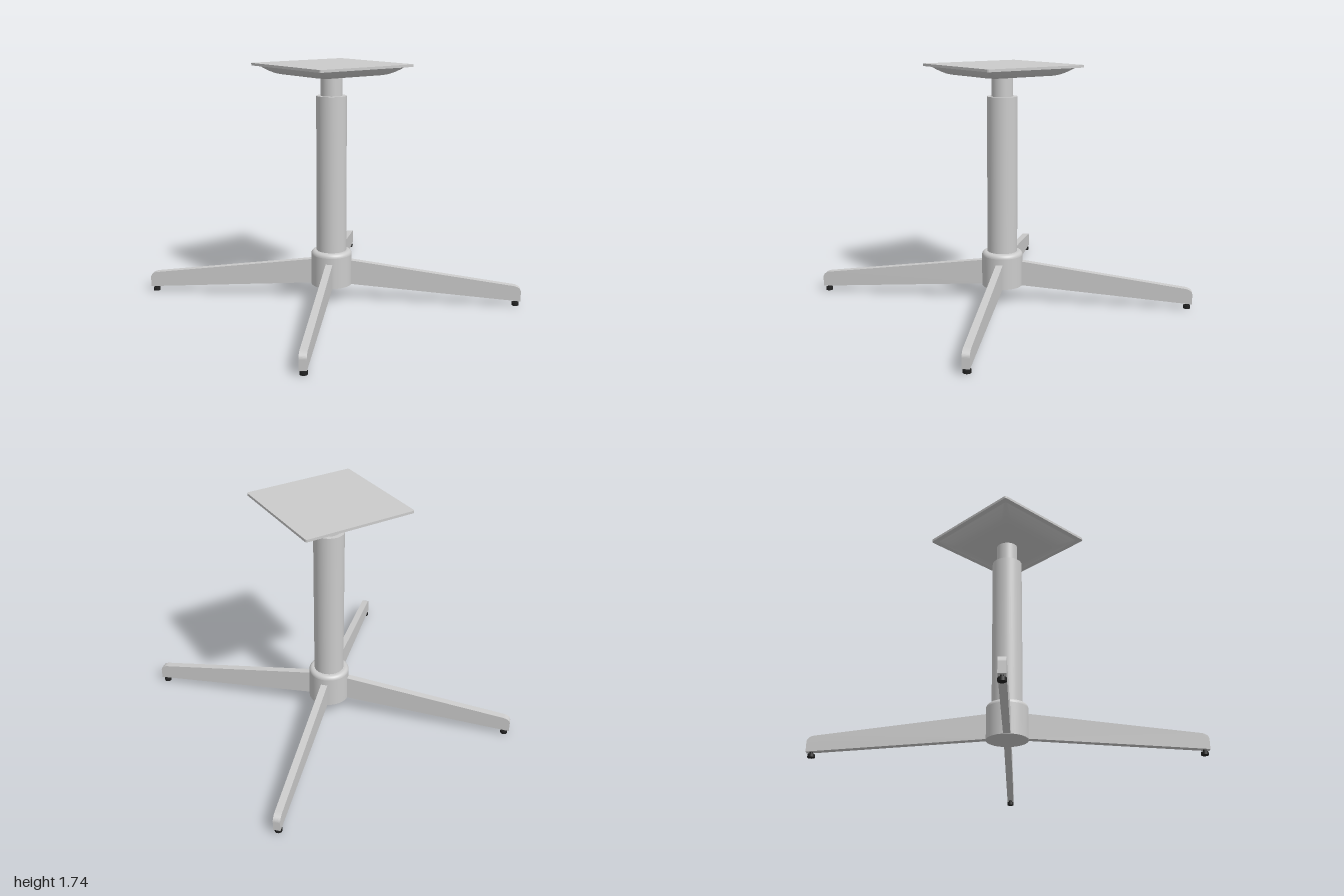
import * as THREE from 'three';

const grey = new THREE.MeshStandardMaterial({ color: 0xcccccc });
const dark = new THREE.MeshStandardMaterial({ color: 0x222222 });

function part(name, geometry, parent, material = grey) {
  const mesh = new THREE.Mesh(geometry, material);
  mesh.name = name;
  parent.add(mesh);
  return mesh;
}

// Upright cylinder between two heights
function cylinder(radius, y0, y1, sides = 48) {
  return new THREE.CylinderGeometry(radius, radius, y1 - y0, sides).translate(0, (y0 + y1) / 2, 0);
}

// Outline of a rounded square, as [x, z] points
function roundedSquare(half, radius, steps = 6) {
  const points = [];
  for (let c = 0; c < 4; c++) {
    const mid = Math.PI / 4 + c * Math.PI / 2;
    const cx = Math.sign(Math.cos(mid)) * (half - radius);
    const cz = Math.sign(Math.sin(mid)) * (half - radius);
    for (let k = 0; k <= steps; k++) {
      const a = c * Math.PI / 2 + (k / steps) * Math.PI / 2;
      points.push([cx + radius * Math.cos(a), cz + radius * Math.sin(a)]);
    }
  }
  return points;
}

// Shallow dish lofted from rounded squares, rim first
function dishGeometry() {
  const rings = [
    [0.378, 0.02, 1.726], [0.355, 0.03, 1.706], [0.33, 0.04, 1.688],
    [0.305, 0.05, 1.674], [0.282, 0.06, 1.667], [0.255, 0.06, 1.665], [0, 0, 1.665],
  ];
  const positions = [], index = [];
  let n = 0;
  for (const [half, radius, y] of rings) {
    const outline = roundedSquare(half, radius);
    n = outline.length;
    for (const [x, z] of outline) positions.push(x, y, z);
  }
  for (let j = 0; j < rings.length - 1; j++) {
    for (let i = 0; i < n; i++) {
      const a = j * n + i, b = j * n + (i + 1) % n;
      index.push(a, b, a + n, b, b + n, a + n);
    }
  }
  const g = new THREE.BufferGeometry();
  g.setAttribute('position', new THREE.Float32BufferAttribute(positions, 3));
  g.setIndex(index);
  g.computeVertexNormals();
  return g;
}

// Tapered leg blade running along +x, with a rounded upper tip
function legGeometry() {
  const width = 0.05, end = 1.389;
  const s = new THREE.Shape();
  s.moveTo(0.1, 0.121);
  s.lineTo(end, 0.036);
  s.lineTo(end, 0.105);
  s.bezierCurveTo(end, 0.13, end - 0.02, 0.146, end - 0.05, 0.151);
  s.lineTo(0.1, 0.306);
  s.closePath();
  return new THREE.ExtrudeGeometry(s, { depth: width, bevelEnabled: false, curveSegments: 10 })
    .translate(0, 0, -width / 2);
}

export function createModel() {
  const model = new THREE.Group();
  model.name = 'tableBase';

  // Hub with a rounded shoulder
  const hub = [[0, 0.115], [0.15, 0.115], [0.15, 0.115], [0.15, 0.345], [0.15, 0.345]];
  for (let k = 1; k <= 6; k++) {
    const a = (k / 6) * Math.PI / 2;
    hub.push([0.12 + 0.03 * Math.cos(a), 0.345 + 0.03 * Math.sin(a)]);
  }
  hub.push([0.1, 0.375]);
  // Split at the lower rim so that edge stays sharp
  part('hub', new THREE.LatheGeometry(hub.slice(2).map(p => new THREE.Vector2(...p)), 48), model);
  part('hubBottom', new THREE.CircleGeometry(0.15, 48).rotateX(Math.PI / 2).translate(0, 0.115, 0), model);

  // Telescopic column
  part('outerColumn', cylinder(0.11, 0.36, 1.515), model);
  part('innerColumn', cylinder(0.077, 1.5, 1.668), model);

  // Mounting plate and the dish beneath it
  const outline = roundedSquare(0.414, 0.015).map(([x, z]) => new THREE.Vector2(x, z));
  part('topPlate', new THREE.ExtrudeGeometry(new THREE.Shape(outline), { depth: 0.018, bevelEnabled: false })
    .rotateX(-Math.PI / 2).translate(0, 1.724, 0), model);
  part('plateDish', dishGeometry(), model);

  // Four diagonal legs, each with a levelling foot
  const blade = legGeometry();
  for (let i = 0; i < 4; i++) {
    const leg = new THREE.Group();
    leg.name = 'leg' + (i + 1);
    leg.rotation.y = Math.PI / 4 + i * Math.PI / 2;
    part('legBlade', blade, leg);
    part('footStem', cylinder(0.012, 0.015, 0.045, 16).translate(1.353, 0, 0), leg, dark);
    part('footPad', cylinder(0.026, 0, 0.022, 24).translate(1.353, 0, 0), leg, dark);
    model.add(leg);
  }
  return model;
}
